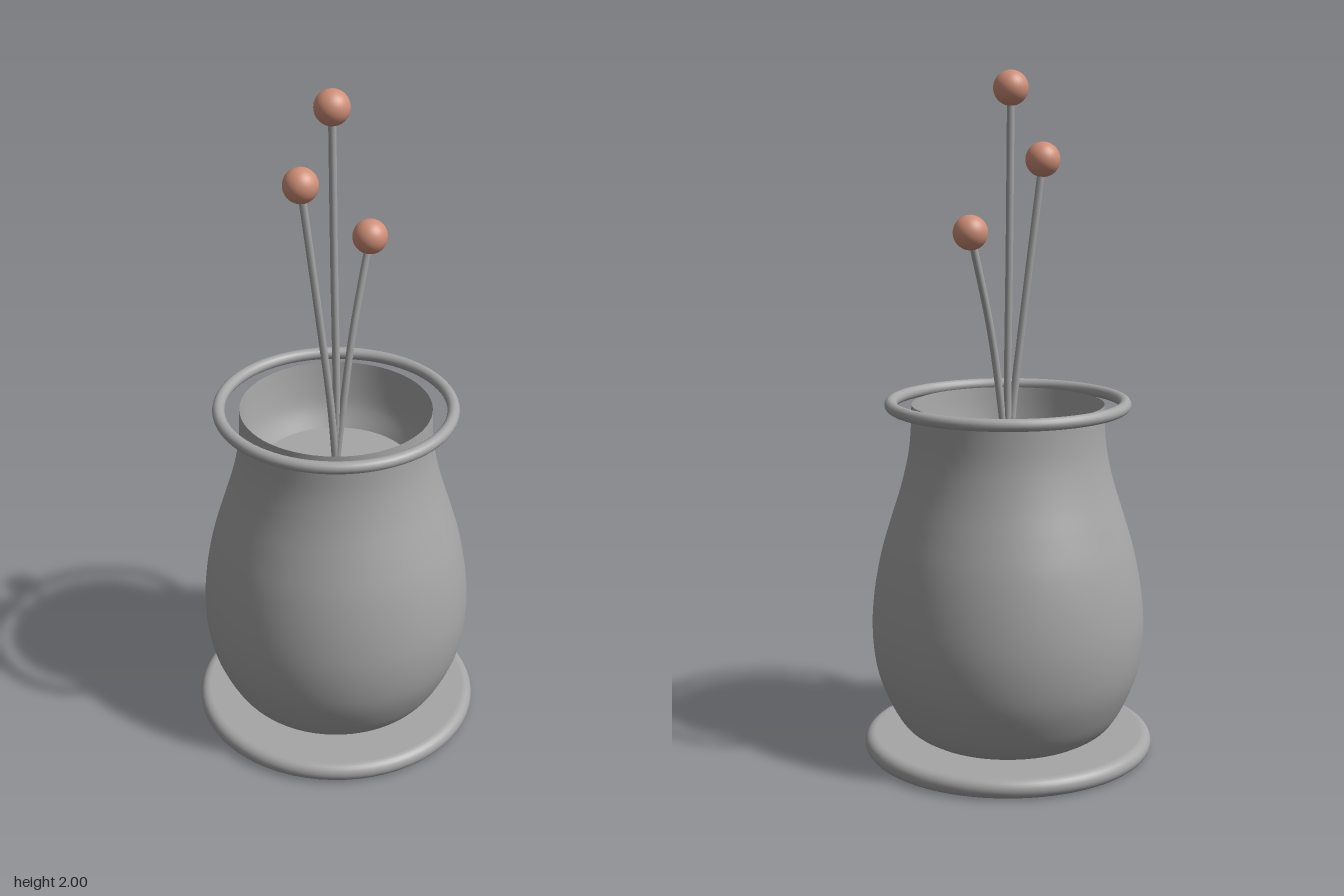
import * as THREE from 'three';

const V2 = (p) => new THREE.Vector2(p[0], p[1]);

export function createModel() {
  const model = new THREE.Group();
  const grey = new THREE.MeshStandardMaterial({ color: 0xa6a6a6 });
  grey.name = 'grey ceramic';
  const salmon = new THREE.MeshStandardMaterial({ color: 0xcf8f78 });
  salmon.name = 'salmon berry';

  const add = (name, geometry, material, parent = model) => {
    const mesh = new THREE.Mesh(geometry, material);
    mesh.name = name;
    parent.add(mesh);
    return mesh;
  };
  const lathe = (points) => new THREE.LatheGeometry(points, 64);

  // Saucer: flat disc with a fully rounded edge
  const edge = [];
  for (let i = 0; i <= 12; i++) {
    const a = -Math.PI / 2 + (Math.PI * i) / 12;
    edge.push(new THREE.Vector2(0.4 + 0.028 * Math.cos(a), 0.032 + 0.028 * Math.sin(a)));
  }
  edge[0].y = 0.004;
  add('saucerEdge', lathe(edge), grey);
  for (const [name, y, turn] of [['saucerTop', 0.06, -1], ['saucerBottom', 0.004, 1]]) {
    const disc = add(name, new THREE.CircleGeometry(0.4, 64), grey);
    disc.rotation.x = (turn * Math.PI) / 2;
    disc.position.y = y;
  }

  // Vase outside: rounded belly drawn in to a straight neck
  const outer = new THREE.SplineCurve([
    [0.26, 0.06], [0.305, 0.09], [0.345, 0.15], [0.385, 0.25], [0.401, 0.37], [0.394, 0.49],
    [0.372, 0.61], [0.343, 0.71], [0.312, 0.81], [0.291, 0.9], [0.283, 0.97], [0.28, 1.05],
  ].map(V2));
  add('vaseBody', lathe(outer.getPoints(48)), grey);

  // Vase inside: wall curving in to a raised floor
  const inner = new THREE.SplineCurve([
    [0.28, 1.05], [0.272, 0.98], [0.258, 0.91], [0.23, 0.85],
  ].map(V2));
  add('vaseInnerWall', lathe(inner.getPoints(14)), grey);
  const floor = add('vaseFloor', new THREE.CircleGeometry(0.23, 64), grey);
  floor.rotation.x = -Math.PI / 2;
  floor.position.y = 0.85;

  // Loose ring around the rim
  const ring = add('rimRing', new THREE.TorusGeometry(0.34, 0.018, 16, 80), grey);
  ring.rotation.x = Math.PI / 2;
  ring.position.y = 1.05;

  // Three stems, each ending in a berry
  const stems = [
    ['leftBerryStem', [[0, 0.85, 0], [0.02, 1.06, 0.008], [0.055, 1.27, 0], [0.125, 1.55, -0.02]]],
    ['middleBerryStem', [[0, 0.85, 0], [0, 1.1, 0.002], [0, 1.5, -0.01], [0, 1.95, -0.02]]],
    ['rightBerryStem', [[0, 0.85, 0], [-0.02, 1.06, 0.004], [-0.052, 1.34, -0.004], [-0.1, 1.75, -0.02]]],
  ];
  for (const [name, path] of stems) {
    const group = new THREE.Group();
    group.name = name;
    model.add(group);
    const points = path.map((p) => new THREE.Vector3(...p));
    add('stem', new THREE.TubeGeometry(new THREE.CatmullRomCurve3(points), 24, 0.011, 10), grey, group);
    add('berry', new THREE.SphereGeometry(0.05, 32, 20), salmon, group)
      .position.copy(points[points.length - 1]);
  }

  return model;
}
